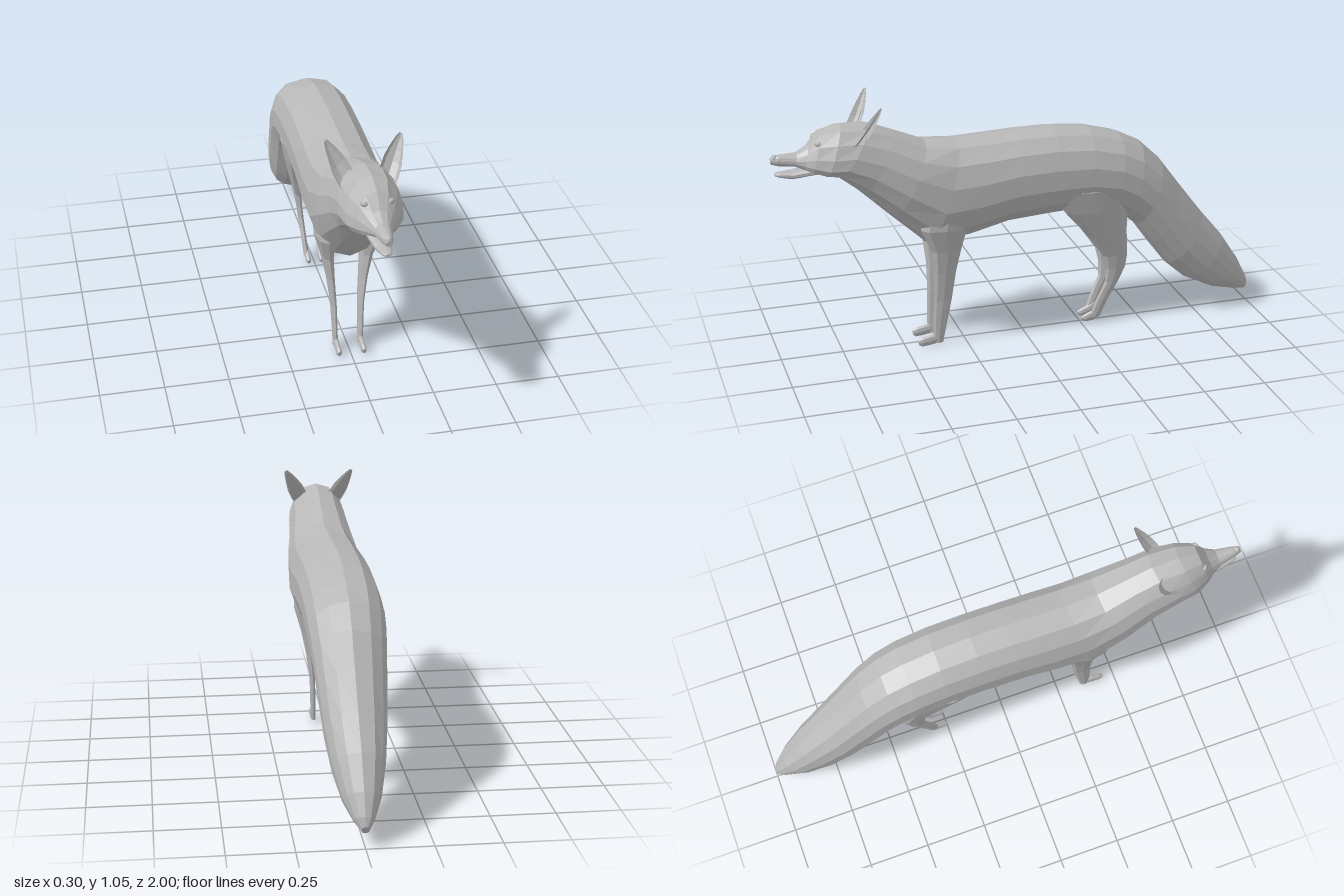
import * as THREE from 'three';

// Closed skin over rings of points, with fan caps; facets stay flat.
function loft(rings, flip = false) {
  const n = rings[0].length, pos = [];
  const tri = (a, b, c) => {
    for (const p of flip ? [a, c, b] : [a, b, c]) pos.push(p.x, p.y, p.z);
  };
  for (let i = 0; i < rings.length - 1; i++) {
    for (let j = 0; j < n; j++) {
      const k = (j + 1) % n, r = rings[i], s = rings[i + 1];
      tri(r[j], r[k], s[j]);
      tri(r[k], s[k], s[j]);
    }
  }
  const mid = r => r.reduce((m, p) => m.add(p), new THREE.Vector3()).divideScalar(n);
  const first = rings[0], last = rings[rings.length - 1];
  const m0 = mid(first), m1 = mid(last);
  for (let j = 0; j < n; j++) {
    const k = (j + 1) % n;
    tri(m0, first[k], first[j]);
    tri(m1, last[j], last[k]);
  }
  const g = new THREE.BufferGeometry();
  g.setAttribute('position', new THREE.Float32BufferAttribute(pos, 3));
  g.computeVertexNormals();
  return g;
}

// Ring given by its top [z, y], bottom [z, y], half width and how low it is widest.
function slice([tz, ty, bz, by, w, low = 0], cx = 0, sides = 14) {
  return Array.from({ length: sides }, (_, j) => {
    const a = j / sides * Math.PI * 2, s = Math.sin(a), c = Math.cos(a);
    const t = c - low * s * s;
    const x = Math.sign(s) * Math.pow(Math.abs(s), c > 0 ? 0.8 : 1);
    return new THREE.Vector3(cx + w * x,
      (ty + by) / 2 + t * (ty - by) / 2, (tz + bz) / 2 + t * (tz - bz) / 2);
  });
}

// Horizontal leg ring: height, centre z, half depth, centre x, half width.
const legRing = ([y, z, hz, cx, hx], side) => Array.from({ length: 8 }, (_, j) => {
  const a = j / 8 * Math.PI * 2;
  return new THREE.Vector3(side * cx + hx * Math.cos(a), y, z + hz * Math.sin(a));
});

// Muzzle, head, neck, trunk and tail in one skin
const BODY = [
  [1.0, 0.85, 1.0, 0.825, 0.011],
  [0.97, 0.86, 0.97, 0.815, 0.021],
  [0.9, 0.862, 0.91, 0.811, 0.034, 0.2],
  [0.855, 0.89, 0.88, 0.798, 0.052, 0.35],
  [0.81, 0.945, 0.85, 0.787, 0.079, 0.45],
  [0.73, 0.964, 0.8, 0.772, 0.108, 0.45],
  [0.62, 0.957, 0.75, 0.758, 0.12, 0.3],
  [0.52, 0.918, 0.66, 0.68, 0.127, 0.1],
  [0.4, 0.867, 0.54, 0.565, 0.146],
  [0.27, 0.862, 0.4, 0.435, 0.153],
  [0.15, 0.865, 0.24, 0.455, 0.155],
  [0.02, 0.869, 0.08, 0.495, 0.153],
  [-0.12, 0.869, -0.1, 0.508, 0.153],
  [-0.27, 0.855, -0.25, 0.515, 0.153],
  [-0.4, 0.82, -0.36, 0.5, 0.152],
  [-0.49, 0.775, -0.42, 0.465, 0.148],
  [-0.58, 0.69, -0.475, 0.42, 0.14],
  [-0.67, 0.57, -0.54, 0.33, 0.13],
  [-0.77, 0.44, -0.62, 0.225, 0.118],
  [-0.87, 0.32, -0.71, 0.145, 0.1],
  [-0.95, 0.2, -0.82, 0.09, 0.072],
];
const TAIL_TIP = [[-0.99, 0.12, -0.92, 0.066, 0.04], [-1.0, 0.085, -0.985, 0.055, 0.015]];

const JAW = [
  [0.987, 0.788, 0.987, 0.778, 0.01],
  [0.97, 0.791, 0.97, 0.77, 0.02],
  [0.92, 0.793, 0.92, 0.76, 0.032],
  [0.86, 0.802, 0.86, 0.768, 0.043],
  [0.79, 0.81, 0.78, 0.776, 0.055],
];

const FRONT_LEG = [
  [0.64, 0.33, 0.1, 0.085, 0.05], [0.52, 0.345, 0.095, 0.09, 0.042],
  [0.42, 0.335, 0.06, 0.078, 0.026], [0.32, 0.34, 0.045, 0.066, 0.017],
  [0.2, 0.348, 0.037, 0.055, 0.012], [0.08, 0.362, 0.027, 0.052, 0.011],
  [0.012, 0.368, 0.02, 0.05, 0.011],
];
const HIND_LEG = [
  [0.62, -0.25, 0.16, 0.09, 0.055], [0.52, -0.29, 0.13, 0.08, 0.045],
  [0.4, -0.345, 0.082, 0.066, 0.028], [0.3, -0.385, 0.052, 0.052, 0.016],
  [0.24, -0.388, 0.042, 0.045, 0.013], [0.18, -0.375, 0.03, 0.04, 0.012],
  [0.1, -0.335, 0.026, 0.035, 0.011], [0.025, -0.305, 0.024, 0.03, 0.011],
];
// Feet run from the toes back to the heel
const FRONT_FOOT = [
  [0.453, 0.03, 0.448, 0.008, 0.007], [0.435, 0.04, 0.435, 0, 0.012],
  [0.4, 0.048, 0.4, 0.004, 0.012], [0.35, 0.05, 0.35, 0.012, 0.009],
];
const HIND_FOOT = [
  [-0.25, 0.03, -0.255, 0.012, 0.007], [-0.268, 0.04, -0.268, 0.006, 0.012],
  [-0.3, 0.055, -0.3, 0.008, 0.012], [-0.335, 0.075, -0.325, 0.022, 0.009],
];

// Cupped ear, hollow on its front face
function earGeometry(side) {
  const base = new THREE.Vector3(0.072, 0.915, 0.675), tip = new THREE.Vector3(0.14, 1.05, 0.598);
  const axis = tip.clone().sub(base).normalize();
  const wide = new THREE.Vector3(-0.03, 0.02, -0.02).normalize();
  const front = axis.clone().cross(wide).normalize();
  const rings = [[-0.15, 0.9], [0.15, 1], [0.4, 0.95], [0.65, 0.7], [0.87, 0.42], [1, 0.18]].map(([t, s]) =>
    Array.from({ length: 8 }, (_, j) => {
      const a = j / 8 * Math.PI * 2, d = Math.sin(a);
      const p = base.clone().lerp(tip, t)
        .addScaledVector(wide, 0.04 * s * Math.cos(a))
        .addScaledVector(front, 0.03 * s * (d > 0 ? -0.4 * d : d));
      p.x *= side;
      return p;
    }));
  return loft(rings, side > 0);
}

export function createModel() {
  const model = new THREE.Group();
  model.name = 'fox';
  const grey = new THREE.MeshStandardMaterial({ color: 0xb8b8b8 });
  grey.name = 'plain grey';
  const add = (name, geometry) => {
    const mesh = new THREE.Mesh(geometry, grey);
    mesh.name = name;
    model.add(mesh);
    return mesh;
  };

  add('body', loft([...BODY, ...TAIL_TIP].map(s => slice(s))));
  add('lowerJaw', loft(JAW.map(s => slice(s, 0, 10))));
  const nose = add('nose', new THREE.SphereGeometry(0.015, 8, 6));
  nose.position.set(0, 0.847, 0.985);

  for (const side of [1, -1]) {
    const label = side > 0 ? 'left' : 'right';
    add(label + 'FrontLeg', loft(FRONT_LEG.map(r => legRing(r, side))));
    add(label + 'FrontFoot', loft(FRONT_FOOT.map(s => slice(s, side * 0.05, 8))));
    add(label + 'HindLeg', loft(HIND_LEG.map(r => legRing(r, side))));
    add(label + 'HindFoot', loft(HIND_FOOT.map(s => slice(s, side * 0.028, 8))));
    add(label + 'Ear', earGeometry(side));
    const eye = add(label + 'Eye', new THREE.SphereGeometry(0.015, 8, 6));
    eye.scale.set(1, 0.8, 0.6);
    eye.rotation.y = side * 0.6;
    eye.position.set(side * 0.05, 0.905, 0.825);
  }
  return model;
}
